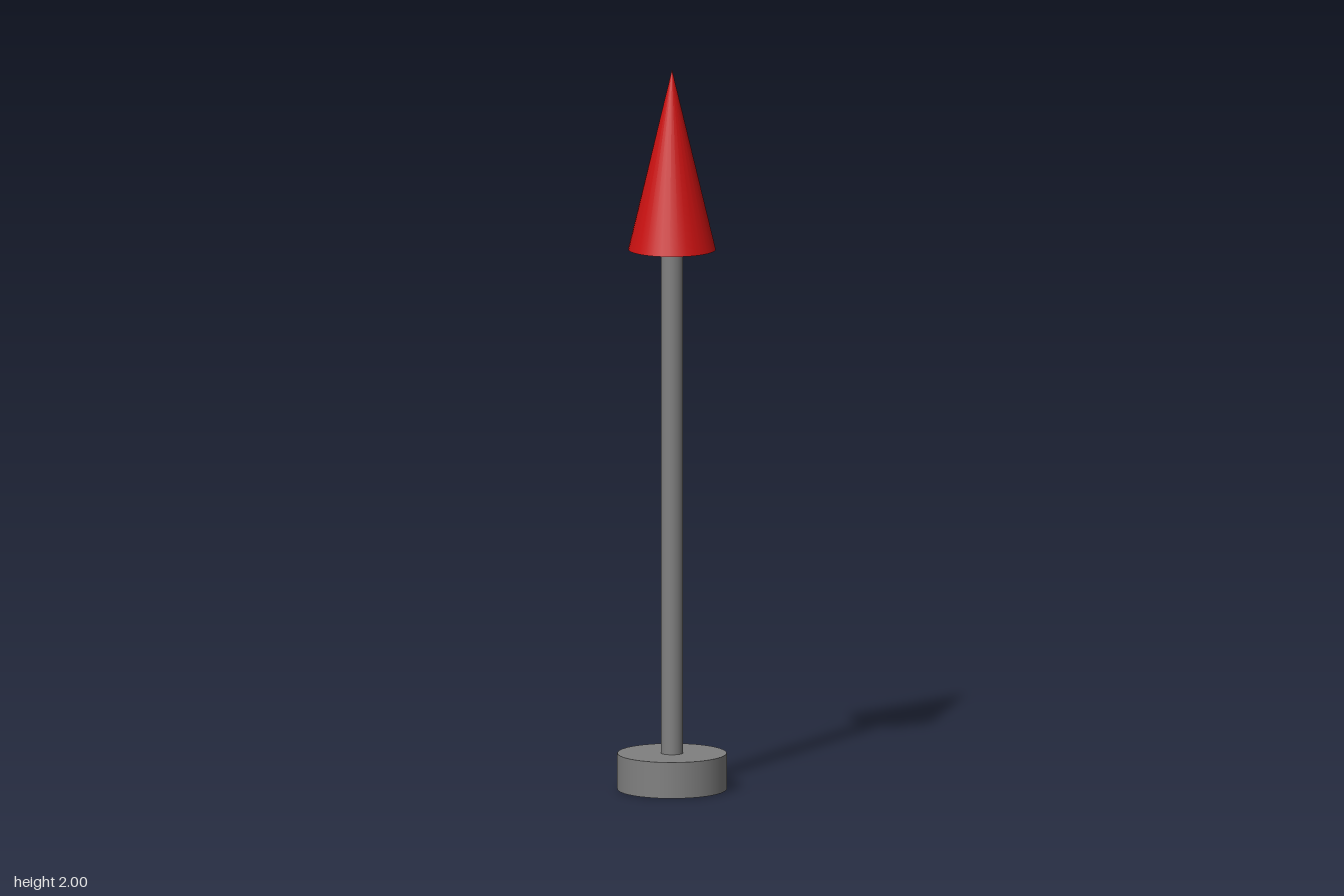
import * as THREE from 'three';

export function createModel() {
  const model = new THREE.Group();
  model.name = 'arrowMarker';

  const grey = new THREE.MeshStandardMaterial({ color: 0x808080 });
  grey.name = 'grey';
  const red = new THREE.MeshStandardMaterial({ color: 0xcc1111 });
  red.name = 'red';

  // Adds a round part standing between two heights
  function addRound(name, topRadius, bottomRadius, y0, y1, material) {
    const geometry = new THREE.CylinderGeometry(topRadius, bottomRadius, y1 - y0, 32);
    const mesh = new THREE.Mesh(geometry, material);
    mesh.name = name;
    mesh.position.y = (y0 + y1) / 2;
    model.add(mesh);
  }

  addRound('base', 0.15, 0.15, 0, 0.1, grey);
  addRound('shaft', 0.03, 0.03, 0.1, 1.5, grey);
  addRound('arrowTip', 0, 0.12, 1.5, 2, red);

  return model;
}
